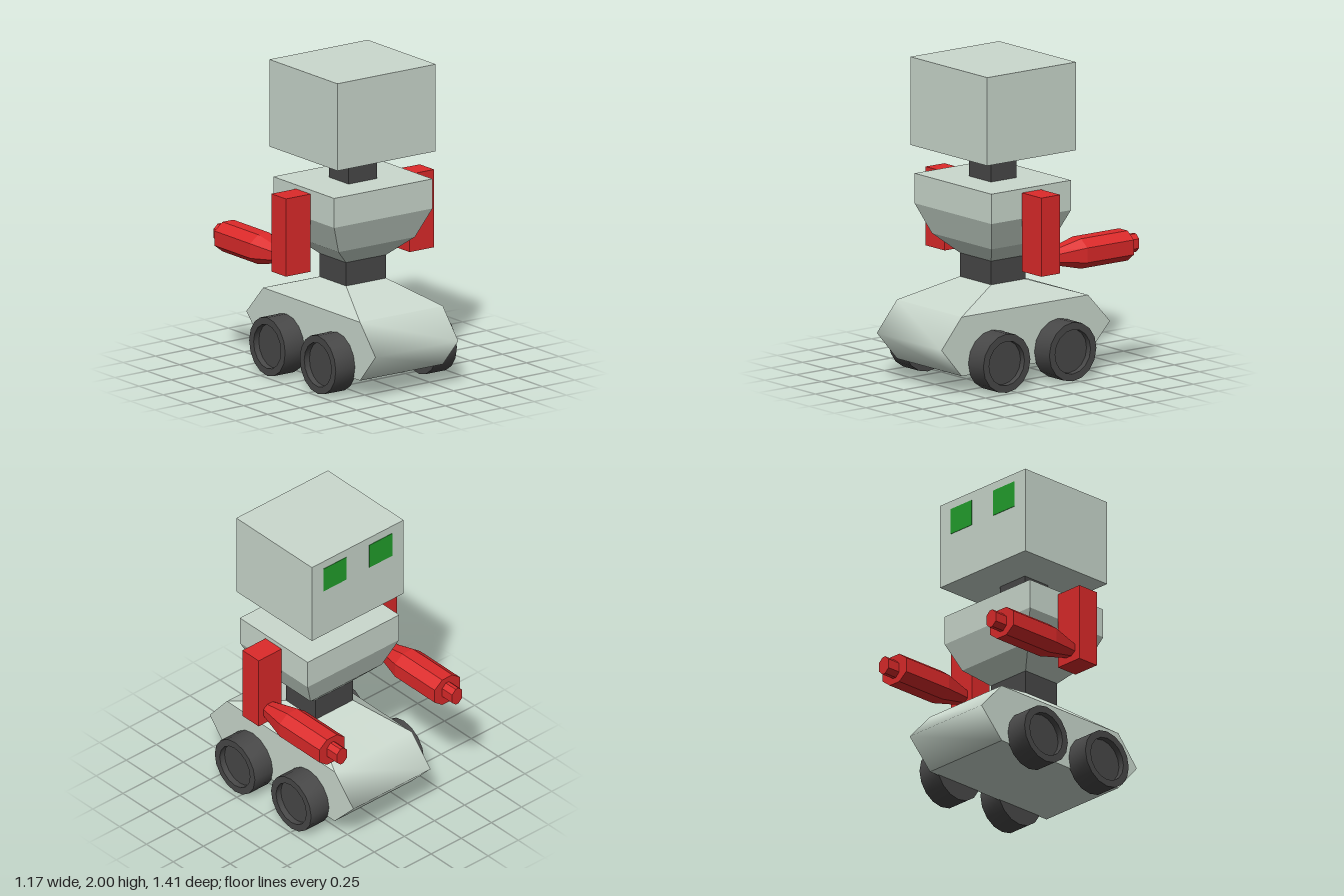
import * as THREE from 'three';
import { toCreasedNormals } from 'three/addons/utils/BufferGeometryUtils.js';

const paint = (color, flatShading = false) => {
  const m = new THREE.MeshStandardMaterial({ color });
  m.flatShading = flatShading;
  return m;
};

const SHELL = 0xcbd9ce, DARK = 0x484848, RED = 0xdd2a2a, GREEN = 0x22a02c;

function add(parent, name, geometry, material) {
  const mesh = new THREE.Mesh(geometry, material);
  mesh.name = name;
  parent.add(mesh);
  return mesh;
}

// Box given by its limits on each axis
function box(parent, name, [x0, x1], [y0, y1], [z0, z1], color) {
  const g = new THREE.BoxGeometry(x1 - x0, y1 - y0, z1 - z0);
  g.translate((x0 + x1) / 2, (y0 + y1) / 2, (z0 + z1) / 2);
  return add(parent, name, g, paint(color));
}

function buffer(positions, index) {
  const g = new THREE.BufferGeometry();
  g.setAttribute('position', new THREE.Float32BufferAttribute(positions, 3));
  if (index) g.setIndex(index);
  g.computeVertexNormals();
  return g;
}

// Flat convex faces, each a list of corners counter-clockwise from outside
function faces(polygons) {
  const pos = [];
  for (const p of polygons)
    for (let i = 1; i < p.length - 1; i++) pos.push(...p[0], ...p[i], ...p[i + 1]);
  return buffer(pos);
}

// Closed solid through equal rings, counter-clockwise seen from the last ring's end
function loft(rings) {
  const polys = [[...rings[0]].reverse(), rings[rings.length - 1]];
  for (let r = 0; r < rings.length - 1; r++) {
    const a = rings[r], b = rings[r + 1];
    a.forEach((p, i) => {
      const j = (i + 1) % a.length;
      polys.push([p, a[j], b[j], b[i]]);
    });
  }
  return faces(polys);
}

// Smooth band across the body; rows are [z, y, half width]
function strip(rows) {
  const pos = [], index = [];
  rows.forEach(([z, y, w], i) => {
    pos.push(-w, y, z, w, y, z);
    if (i) {
      const a = 2 * i - 2;
      index.push(a, a + 2, a + 3, a, a + 3, a + 1);
    }
  });
  return buffer(pos, index);
}

function createChassis() {
  const group = new THREE.Group();
  group.name = 'chassis';
  const W = 0.32, T = 0.155;
  const frontTop = [0.178, 0.615, T], frontUpper = [0.545, 0.49, W];
  const frontNose = [0.705, 0.3, W], frontLower = [0.545, 0.115, W];
  const backLower = [-0.46, 0.115, W], backNose = [-0.635, 0.3, W];
  const backUpper = [-0.46, 0.49, W], backTop = [-0.095, 0.615, T];
  const bands = {
    frontSlope: [frontTop, frontUpper],
    frontEnd: [frontUpper, frontNose, frontLower],
    underside: [frontLower, backLower],
    backEnd: [backLower, backNose, backUpper, backTop],
    deck: [backTop, frontTop],
  };
  for (const [name, rows] of Object.entries(bands)) add(group, name, strip(rows), paint(SHELL));

  const outlines = [
    [frontUpper, frontNose, frontLower, backLower, backNose, backUpper],
    [frontUpper, backUpper, backTop, frontTop],
  ];
  for (const s of [1, -1]) {
    const polys = outlines.map((o) => {
      const p = o.map(([z, y, w]) => [s * w, y, z]);
      return s > 0 ? p : p.reverse();
    });
    add(group, s > 0 ? 'leftSide' : 'rightSide', faces(polys), paint(SHELL, true));
  }
  return group;
}

// Wheel with a recessed hub, axle along y
function wheelGeometry() {
  const profile = [[0, 0], [0.187, 0], [0.187, 0.155], [0.141, 0.155], [0.141, 0.115], [0, 0.115]]
    .map(([r, h]) => new THREE.Vector2(r, h));
  return toCreasedNormals(new THREE.LatheGeometry(profile, 16), 0.8);
}

// Chamfered rectangle around (x, y): half sizes hx, hy and half flats fx, fy
function octagon(x, y, z, hx, fx, hy, fy) {
  const c = [[hx, fy], [fx, hy], [-fx, hy], [-hx, fy], [-hx, -fy], [-fx, -hy], [fx, -hy], [hx, -fy]];
  return c.map(([dx, dy]) => [x + dx, y + dy, z]).reverse();
}

function createArm(side) {
  const group = new THREE.Group();
  group.name = side > 0 ? 'leftArm' : 'rightArm';
  const x = 0.478 * side, y = 0.817;
  box(group, 'upperArm', [x - 0.095, x + 0.095], [0.73, 1.23], [-0.035, 0.115], RED);
  add(group, 'forearm', loft([
    octagon(x, y, -0.03, 0.054, 0.022, 0.045, 0.023),
    octagon(x, y, -0.243, 0.105, 0.042, 0.095, 0.047),
    octagon(x, y, -0.613, 0.105, 0.042, 0.095, 0.047),
  ]), paint(RED, true));
  add(group, 'armTip', loft([
    octagon(x, y, -0.61, 0.042, 0.012, 0.058, 0.03),
    octagon(x, y, -0.705, 0.042, 0.012, 0.058, 0.03),
  ]), paint(RED, true));
  return group;
}

export function createModel() {
  const model = new THREE.Group();
  model.name = 'robot';

  // Base and wheels
  model.add(createChassis());
  const wheel = wheelGeometry();
  for (const s of [1, -1])
    for (const z of [0.305, -0.22]) {
      const m = add(model, (z > 0 ? 'front' : 'back') + (s > 0 ? 'Left' : 'Right') + 'Wheel', wheel, paint(DARK));
      m.position.set(0.313 * s, 0.188, z);
      m.rotation.z = -s * Math.PI / 2;
    }

  // Waist and torso
  box(model, 'waist', [-0.155, 0.155], [0.61, 0.77], [-0.095, 0.178], DARK);
  const ring = (y, w, z0, z1) => [[-w, y, z1], [w, y, z1], [w, y, z0], [-w, y, z0]];
  add(model, 'torso', loft([
    ring(0.765, 0.155, -0.095, 0.178),
    ring(0.88, 0.295, -0.207, 0.288),
    ring(1.065, 0.38, -0.275, 0.357),
    ring(1.255, 0.38, -0.275, 0.357),
  ]), paint(SHELL, true));

  for (const s of [1, -1]) model.add(createArm(s));

  // Neck, head and eyes
  box(model, 'neck', [-0.11, 0.11], [1.25, 1.445], [-0.058, 0.143], DARK);
  box(model, 'head', [-0.38, 0.38], [1.44, 2], [-0.315, 0.39], SHELL);
  for (const s of [1, -1])
    box(model, s > 0 ? 'leftEye' : 'rightEye', [0.19 * s - 0.095, 0.19 * s + 0.095], [1.775, 1.945], [-0.318, -0.31], GREEN);

  return model;
}
